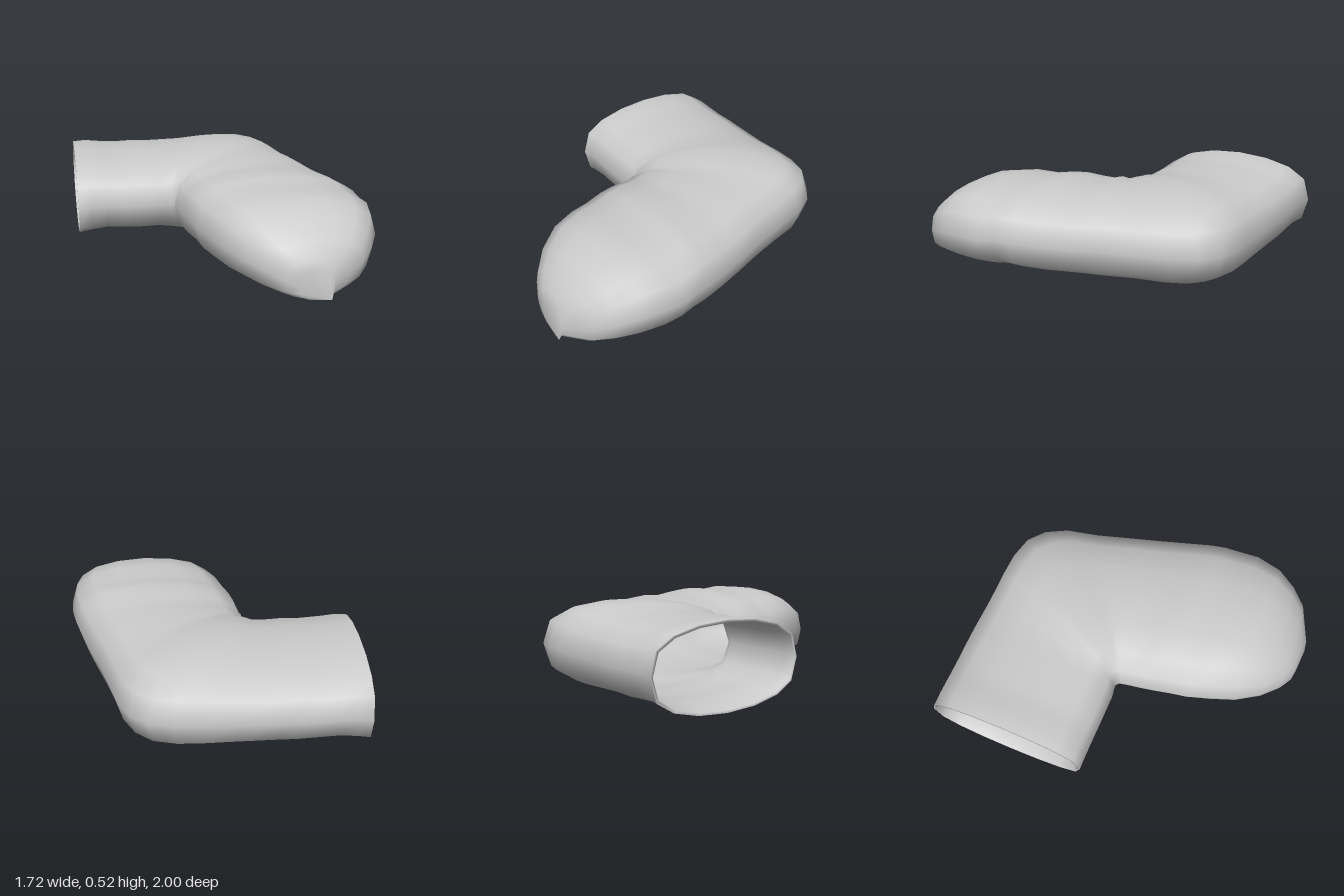
import * as THREE from 'three';

const SIDES = 16;
const material = new THREE.MeshStandardMaterial({ color: 0xcccccc });

// Cross-sections from cuff to toe: inner x, z, outer x, z, bottom y, top y
const SECTIONS = [
  // leg
  [-0.86, -0.01, -0.86, -1.0, 0.01, 0.515],
  [-0.78, -0.01, -0.78, -1.0, 0.025, 0.52],
  [-0.68, -0.01, -0.68, -1.0, 0.04, 0.505],
  [-0.58, -0.01, -0.57, -1.0, 0.035, 0.497],
  [-0.46, -0.01, -0.45, -1.0, 0.025, 0.502],
  [-0.36, -0.01, -0.32, -1.0, 0.028, 0.495],
  // heel bend
  [-0.31, -0.02, -0.1, -0.99, 0.015, 0.502],
  [-0.285, -0.02, 0.1, -0.987, 0.003, 0.52],
  [-0.273, -0.01, 0.24, -0.98, 0, 0.525],
  [-0.268, -0.005, 0.38, -0.945, 0.002, 0.525],
  [-0.264, 0, 0.48, -0.86, 0.005, 0.522],
  [-0.262, 0.005, 0.55, -0.73, 0.012, 0.515],
  [-0.26, 0.015, 0.6, -0.53, 0.018, 0.5],
  [-0.257, 0.03, 0.66, -0.32, 0.014, 0.512],
  [-0.252, 0.06, 0.72, -0.14, 0.02, 0.497],
  // foot
  [-0.245, 0.11, 0.775, 0.04, 0.018, 0.502],
  [-0.23, 0.2, 0.82, 0.2, 0.022, 0.515],
  [-0.21, 0.3, 0.84, 0.29, 0.034, 0.51],
  [-0.185, 0.41, 0.855, 0.39, 0.024, 0.492],
  [-0.14, 0.55, 0.86, 0.5, 0.02, 0.505],
  [-0.08, 0.7, 0.83, 0.66, 0.02, 0.485],
  // toe
  [0.02, 0.84, 0.77, 0.78, 0.02, 0.42],
  [0.13, 0.935, 0.69, 0.88, 0.02, 0.34],
  [0.22, 0.98, 0.58, 0.94, 0.02, 0.26],
  [0.29, 0.99, 0.5, 0.985, 0.02, 0.2],
];
const TOE_TIP = [0.48, 0.02, 1.0];

// Rounded, slightly boxy oval; inset shrinks it for the lining
function ring([ix, iz, ox, oz, bottom, top], inset = 0) {
  const half = Math.hypot(ox - ix, oz - iz) / 2;
  const k = (half - inset) / half;
  const height = (top - bottom) / 2 - inset;
  const points = [];
  for (let j = 0; j < SIDES; j++) {
    const a = (j / SIDES) * Math.PI * 2;
    const c = Math.cos(a) * k, s = Math.sin(a);
    points.push([
      (ix + ox) / 2 + c * (ox - ix) / 2,
      (bottom + top) / 2 + height * Math.sign(s) * Math.abs(s) ** 0.65,
      (iz + oz) / 2 + c * (oz - iz) / 2,
    ]);
  }
  return points;
}

// Skin consecutive rings, with a fan to the tip at the last or first ring
function loft(name, rings, tip, tipAtStart) {
  const positions = [...rings.flat(), tip].flat();
  const index = [];
  const at = (i, j) => i * SIDES + (j % SIDES);
  const tipIndex = rings.length * SIDES;
  for (let j = 0; j < SIDES; j++) {
    for (let i = 0; i < rings.length - 1; i++) {
      const a = at(i, j), b = at(i, j + 1), c = at(i + 1, j), d = at(i + 1, j + 1);
      index.push(a, b, c, b, d, c);
    }
    if (tipAtStart) index.push(tipIndex, at(0, j + 1), at(0, j));
    else index.push(at(rings.length - 1, j), at(rings.length - 1, j + 1), tipIndex);
  }
  const geometry = new THREE.BufferGeometry();
  geometry.setAttribute('position', new THREE.Float32BufferAttribute(positions, 3));
  geometry.setIndex(index);
  geometry.computeVertexNormals();
  const mesh = new THREE.Mesh(geometry, material);
  mesh.name = name;
  return mesh;
}

export function createModel() {
  const sock = new THREE.Group();
  sock.name = 'sock';

  // Outer fabric from cuff to toe
  sock.add(loft('outerFabric', SECTIONS.map((s) => ring(s)), TOE_TIP, false));

  // Lining from toe back to the cuff, closing on the cuff rim
  const lining = SECTIONS.map((s) => ring(s, 0.015)).reverse();
  lining.push(ring(SECTIONS[0]));
  sock.add(loft('lining', lining, [0.46, 0.05, 0.98], true));

  return sock;
}
